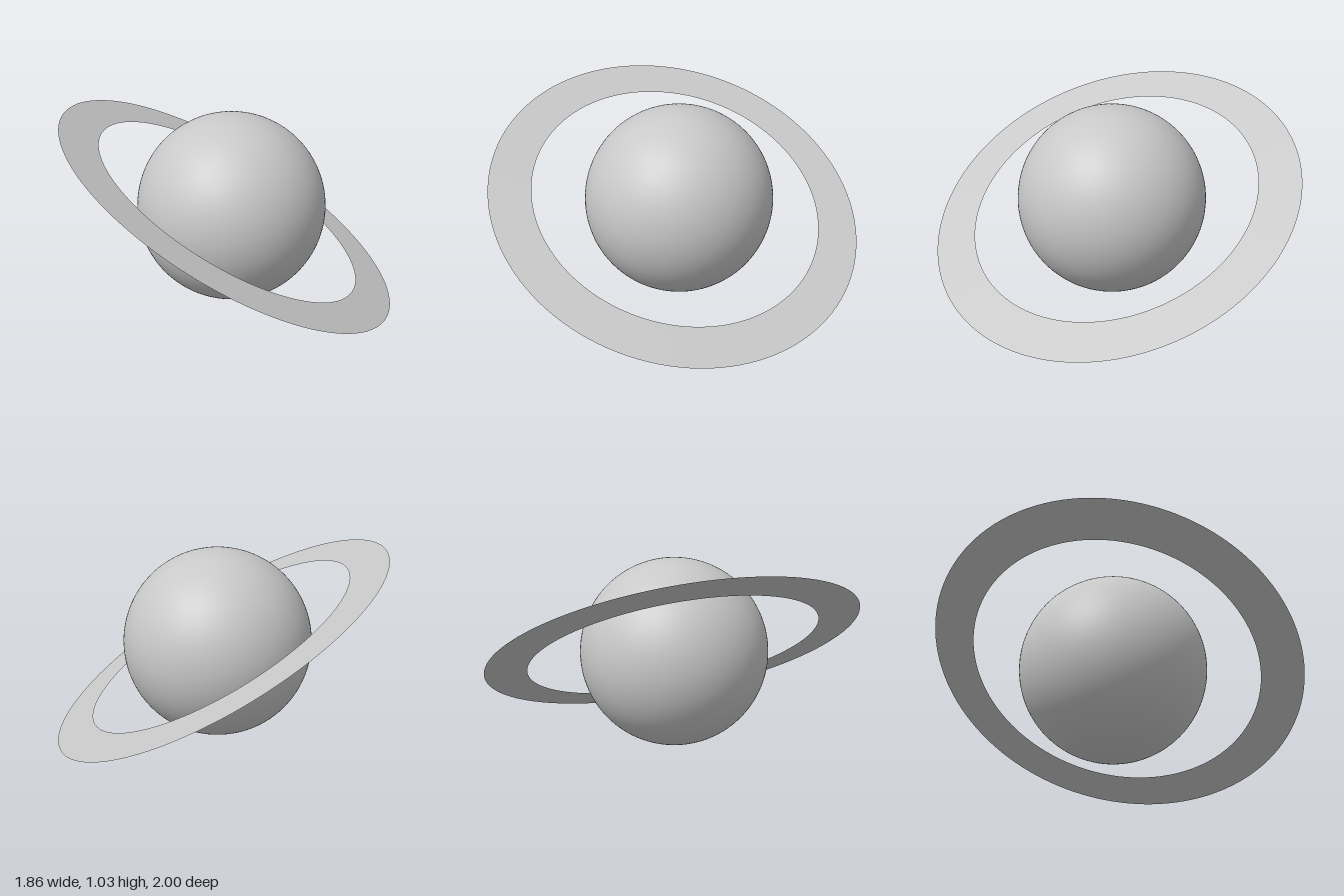
import * as THREE from 'three';

const RADIUS = 0.516;

export function createModel() {
  const group = new THREE.Group();
  group.name = 'ringedPlanet';

  const grey = new THREE.MeshStandardMaterial({ color: 0xc8c8c8, side: THREE.DoubleSide });
  grey.name = 'pale grey';

  // Smooth globe resting on the ground
  const globe = new THREE.Mesh(new THREE.SphereGeometry(RADIUS, 96, 64), grey);
  globe.name = 'globe';
  globe.position.y = RADIUS;
  group.add(globe);

  // Flat ring, tilted 30 degrees towards the left and front
  const ring = new THREE.Mesh(new THREE.RingGeometry(RADIUS * 1.562, RADIUS * 2, 128), grey);
  ring.name = 'ring';
  ring.position.y = RADIUS;
  const normal = new THREE.Vector3(0.433, 0.866, 0.25).normalize();
  ring.quaternion.setFromUnitVectors(new THREE.Vector3(0, 0, 1), normal);
  group.add(ring);

  return group;
}
